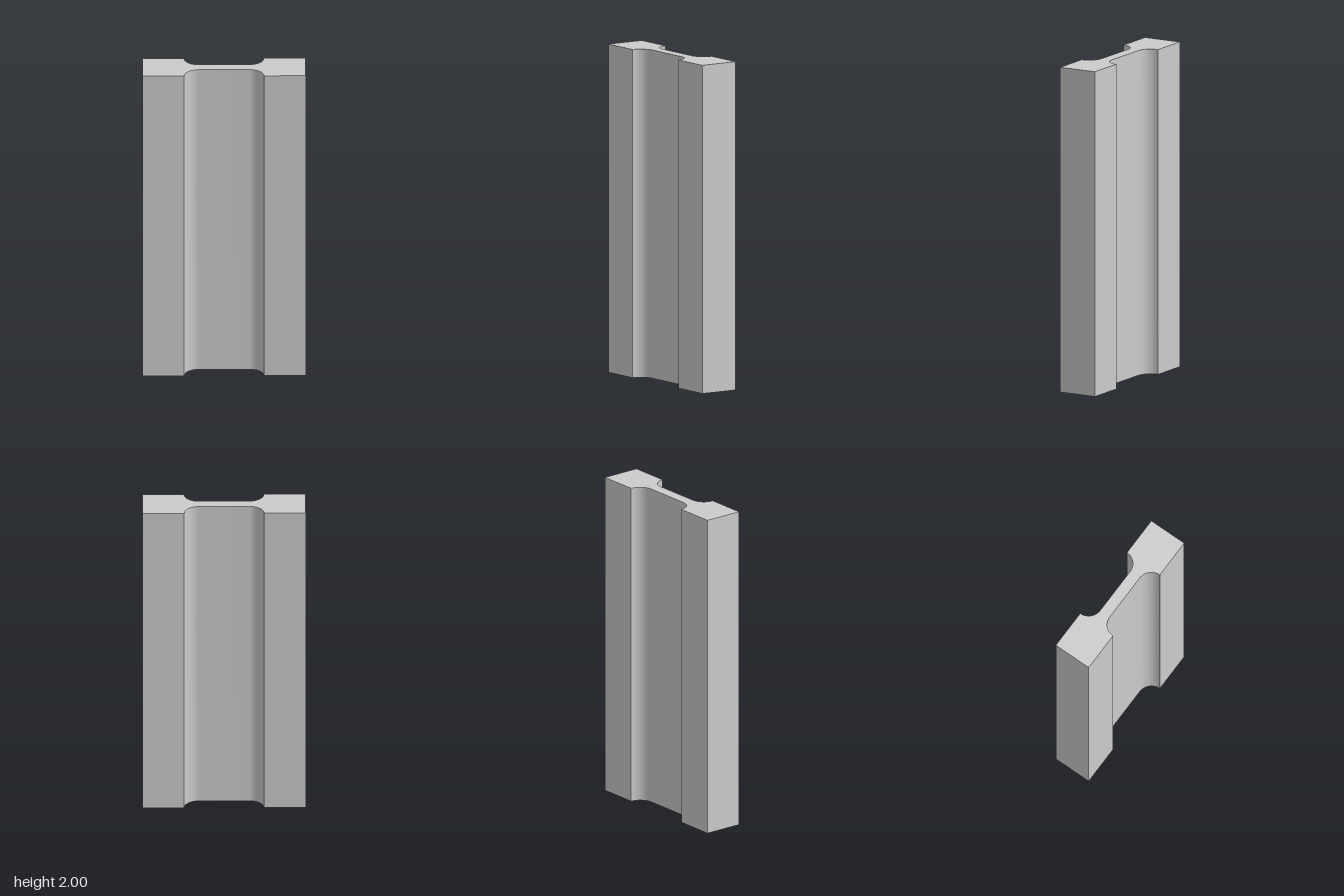
import * as THREE from 'three';
import { toCreasedNormals } from 'three/addons/utils/BufferGeometryUtils.js';

const HEIGHT = 2;
const HALF_WIDTH = 0.491;
const HALF_DEPTH = 0.122;
const HALF_WEB = 0.0355; // half thickness of the thin middle
const HALF_GROOVE = 0.24; // half width of the groove mouth

// Cross-section: two thick ends joined by a thin web with rounded fillets
function sectionShape() {
  const r = HALF_DEPTH - HALF_WEB;
  const c = HALF_GROOVE - r;
  const s = new THREE.Shape();
  s.moveTo(HALF_WIDTH, -HALF_DEPTH);
  s.lineTo(HALF_WIDTH, HALF_DEPTH);
  s.absarc(c, HALF_DEPTH, r, 0, -Math.PI / 2, true);
  s.absarc(-c, HALF_DEPTH, r, -Math.PI / 2, -Math.PI, true);
  s.lineTo(-HALF_WIDTH, HALF_DEPTH);
  s.lineTo(-HALF_WIDTH, -HALF_DEPTH);
  s.absarc(-c, -HALF_DEPTH, r, Math.PI, Math.PI / 2, true);
  s.absarc(c, -HALF_DEPTH, r, Math.PI / 2, 0, true);
  s.closePath();
  return s;
}

export function createModel() {
  const group = new THREE.Group();
  group.name = 'groovedBar';

  // Sweep the section upwards; smooth fillets, sharp edges
  const geometry = new THREE.ExtrudeGeometry(sectionShape(), {
    depth: HEIGHT,
    bevelEnabled: false,
    curveSegments: 16,
  });
  geometry.rotateX(-Math.PI / 2);

  const bar = new THREE.Mesh(
    toCreasedNormals(geometry, Math.PI / 6),
    new THREE.MeshStandardMaterial({ color: 0xcccccc })
  );
  bar.name = 'bar';
  group.add(bar);
  return group;
}
